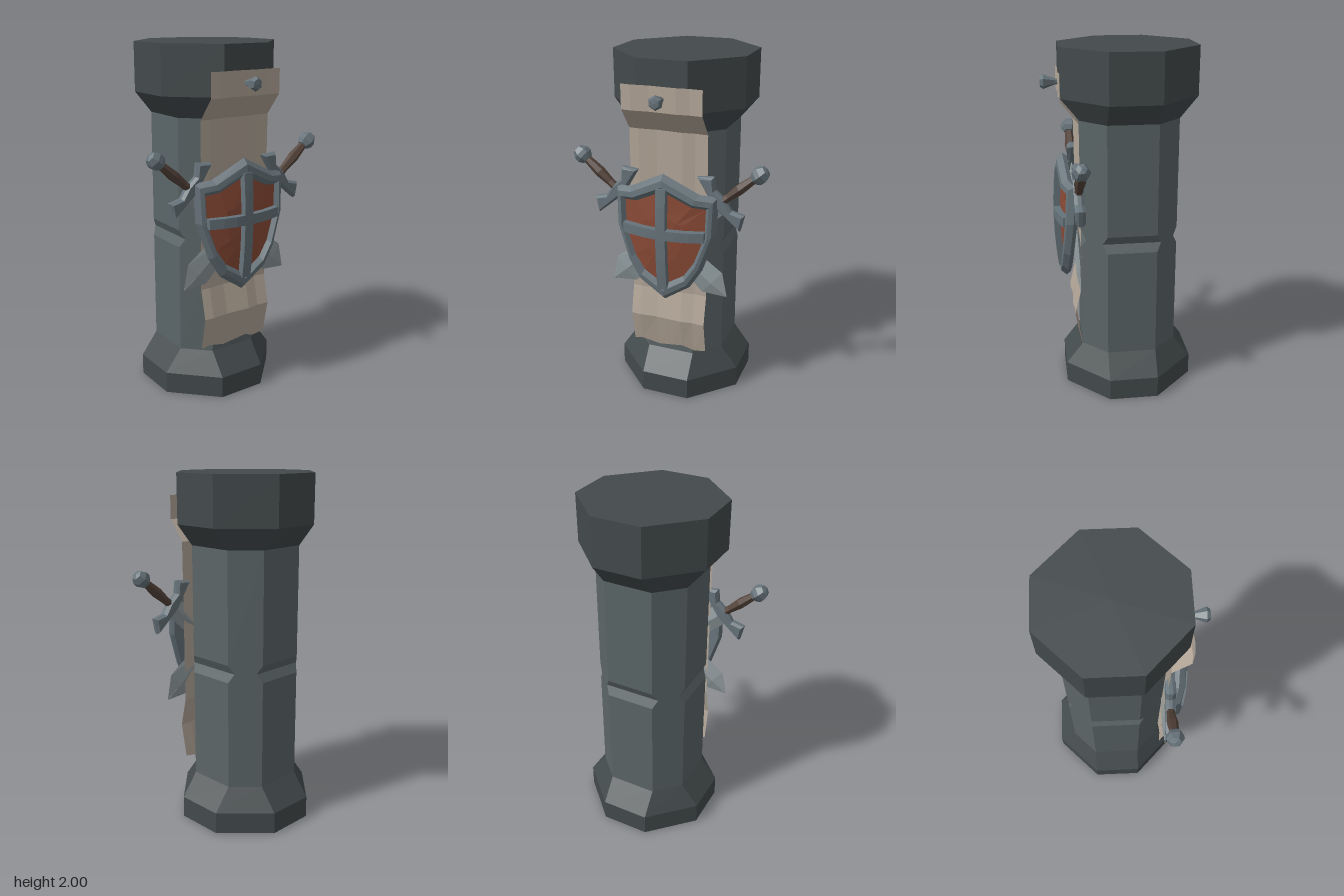
import * as THREE from 'three';

const mat = (color) => new THREE.MeshStandardMaterial({ color, flatShading: true, side: THREE.DoubleSide });

// Skins a stack of closed rings; optionally closes the first and last ring.
function loft(rings, capStart = true, capEnd = true) {
  const pos = [];
  const tri = (a, b, c) => pos.push(...a, ...b, ...c);
  const mid = (r) => [0, 1, 2].map((k) => r.reduce((s, p) => s + p[k], 0) / r.length);
  const n = rings[0].length, first = rings[0], last = rings[rings.length - 1];
  for (let j = 0; j < n; j++) {
    const k = (j + 1) % n;
    for (let i = 0; i + 1 < rings.length; i++) {
      const r = rings[i], s = rings[i + 1];
      tri(r[j], r[k], s[k]);
      tri(r[j], s[k], s[j]);
    }
    if (capStart) tri(mid(first), first[k], first[j]);
    if (capEnd) tri(mid(last), last[j], last[k]);
  }
  const g = new THREE.BufferGeometry();
  g.setAttribute('position', new THREE.Float32BufferAttribute(pos, 3));
  g.computeVertexNormals();
  return g;
}

function add(parent, name, geometry, material, x = 0, y = 0, z = 0) {
  const m = new THREE.Mesh(geometry, material);
  m.name = name;
  m.position.set(x, y, z);
  parent.add(m);
  return m;
}

// Octagon ring: a = distance to the four main faces, h = their half width
const octagon = (y, a, h = 0.14) =>
  [[a, h], [h, a], [-h, a], [-a, h], [-a, -h], [-h, -a], [h, -a], [a, -h]].map(([x, z]) => [x, y, -z - 0.05]);

// Domed surface that the shield parts follow
const dome = (x, y) => 0.368 - 0.75 * x * x - 0.2 * (y - 1.05) ** 2;
const half = [[0, 0.645], [0.148, 0.745], [0.22, 0.86], [0.29, 1.07], [0.296, 1.286], [0.2, 1.3], [0, 1.4]];
const outline = [...half, ...half.slice(1, -1).reverse().map(([x, y]) => [-x, y])];
const shieldRing = ([sx, sy, dz]) => outline.map(([px, py]) => {
  const x = px * sx, y = 1.02 + (py - 1.02) * sy;
  return [x, y, dome(x, y) + dz];
});

function shieldBar(w, h, y) {
  const g = new THREE.BoxGeometry(w, h, 0.04, 6, 6, 1).translate(0, y, -0.014);
  const p = g.attributes.position;
  for (let i = 0; i < p.count; i++) p.setZ(i, p.getZ(i) + dome(p.getX(i), p.getY(i)));
  return g;
}

function createSword(metal, leather) {
  const sword = new THREE.Group();
  sword.name = 'sword';
  // Diamond-section blade, built from tip to guard
  const section = ([y, w, t]) => [[w, y, 0], [0, y, -t], [-w, y, 0], [0, y, t]];
  add(sword, 'blade', loft([[-0.854, 0.003, 0.002], [-0.74, 0.09, 0.018], [-0.45, 0.065, 0.02], [0, 0.06, 0.02]].map(section)),
    mat(0x8d979a));
  // Guard with flared, pointed ends
  const side = [[0, -0.04], [0.07, -0.03], [0.185, -0.01], [0.13, 0.067], [0.07, 0.025], [0, 0.035]];
  const shape = new THREE.Shape([...side, ...side.slice(1, -1).reverse().map(([x, y]) => [-x, y])]
    .map(([x, y]) => new THREE.Vector2(x, y)));
  const guard = new THREE.ExtrudeGeometry(shape, {
    depth: 0.02, bevelThickness: 0.018, bevelSize: 0.012, bevelOffset: -0.012, bevelSegments: 1 });
  add(sword, 'guard', guard, metal, 0, 0, -0.01);
  // Grip swelling in the middle
  const grip = [[0.024, 0.02], [0.023, 0.06], [0.031, 0.14], [0.022, 0.25]].map(([r, y]) => new THREE.Vector2(r, y));
  add(sword, 'grip', new THREE.LatheGeometry(grip, 6), leather);
  const pommel = [[0, 0.23], [0.032, 0.236], [0.048, 0.262], [0.048, 0.288], [0.03, 0.318], [0, 0.324]]
    .map(([r, y]) => new THREE.Vector2(r, y));
  add(sword, 'pommel', new THREE.LatheGeometry(pommel, 6), metal);
  return sword;
}

export function createModel() {
  const model = new THREE.Group();
  model.name = 'columnWithShield';
  const darkStone = mat(0x434a4c), stone = mat(0x5b6567), metal = mat(0x66737a);
  const red = mat(0x8a4a36), cloth = mat(0xb3a698), leather = mat(0x54433a);

  // Column: hollow flared base, shaft with a notch on each main face, flared capital
  add(model, 'base', loft([octagon(0, 0.375), octagon(0.125, 0.375), octagon(0.255, 0.275)], false, false), darkStone);
  add(model, 'shaft', loft([octagon(0.255, 0.275), octagon(0.88, 0.275), octagon(0.93, 0.25, 0.165),
    octagon(0.98, 0.275), octagon(1.61, 0.275)], false, false), stone);
  add(model, 'capital', loft([octagon(1.61, 0.275), octagon(1.73, 0.375), octagon(2, 0.375)], false, true), darkStone);

  // Banner draped over the capital, kicking out near the hem
  const rows = [[1.865, 0.33], [1.73, 0.33], [1.61, 0.235], [1.25, 0.234], [0.66, 0.234], [0.49, 0.274], [0.295, 0.236]];
  const cols = [-0.225, -0.17, -0.07, 0.01, 0.08, 0.15, 0.222];
  const banner = new THREE.PlaneGeometry(1, 1, cols.length - 1, rows.length - 1);
  const bp = banner.attributes.position;
  for (let i = 0; i < bp.count; i++) {
    const c = i % cols.length, r = Math.floor(i / cols.length);
    const wave = Math.sin(c * 2.1);
    const hem = r === rows.length - 1 ? wave * 0.014 : 0;
    bp.setXYZ(i, cols[c], rows[r][0] + hem, rows[r][1] + wave * 0.005);
  }
  add(model, 'banner', banner, cloth);

  // Peg holding the banner
  const peg = [[0, 0], [0.013, 0], [0.018, 0.03], [0.04, 0.09], [0.028, 0.107], [0, 0.11]]
    .map(([r, y]) => new THREE.Vector2(r, y));
  add(model, 'peg', new THREE.LatheGeometry(peg, 6).rotateX(Math.PI / 2), metal, 0, 1.8, 0.318);

  // Crossed swords
  for (const s of [1, -1]) {
    const sword = createSword(metal, leather);
    sword.name = s > 0 ? 'leftSword' : 'rightSword';
    sword.position.set(s * 0.3, 1.25, 0.247);
    sword.rotation.z = -s * 0.857;
    model.add(sword);
  }

  // Shield: raised frame, sunken panel and cross bars
  const shield = new THREE.Group();
  shield.name = 'shield';
  model.add(shield);
  add(shield, 'frame', loft([[0.01, 0.01, -0.055], [0.5, 0.5, -0.055], [0.95, 0.95, -0.055], [1, 1, -0.028],
    [0.93, 0.92, 0], [0.86, 0.82, 0], [0.79, 0.74, -0.03]].map(shieldRing), true, false), metal);
  add(shield, 'panel', loft([[0.79, 0.74, -0.03], [0.4, 0.38, -0.03], [0.01, 0.01, -0.03]].map(shieldRing), false, true), red);
  add(shield, 'verticalBar', shieldBar(0.056, 0.6, 1.025), metal);
  add(shield, 'horizontalBar', shieldBar(0.47, 0.056, 1.065), metal);
  return model;
}
